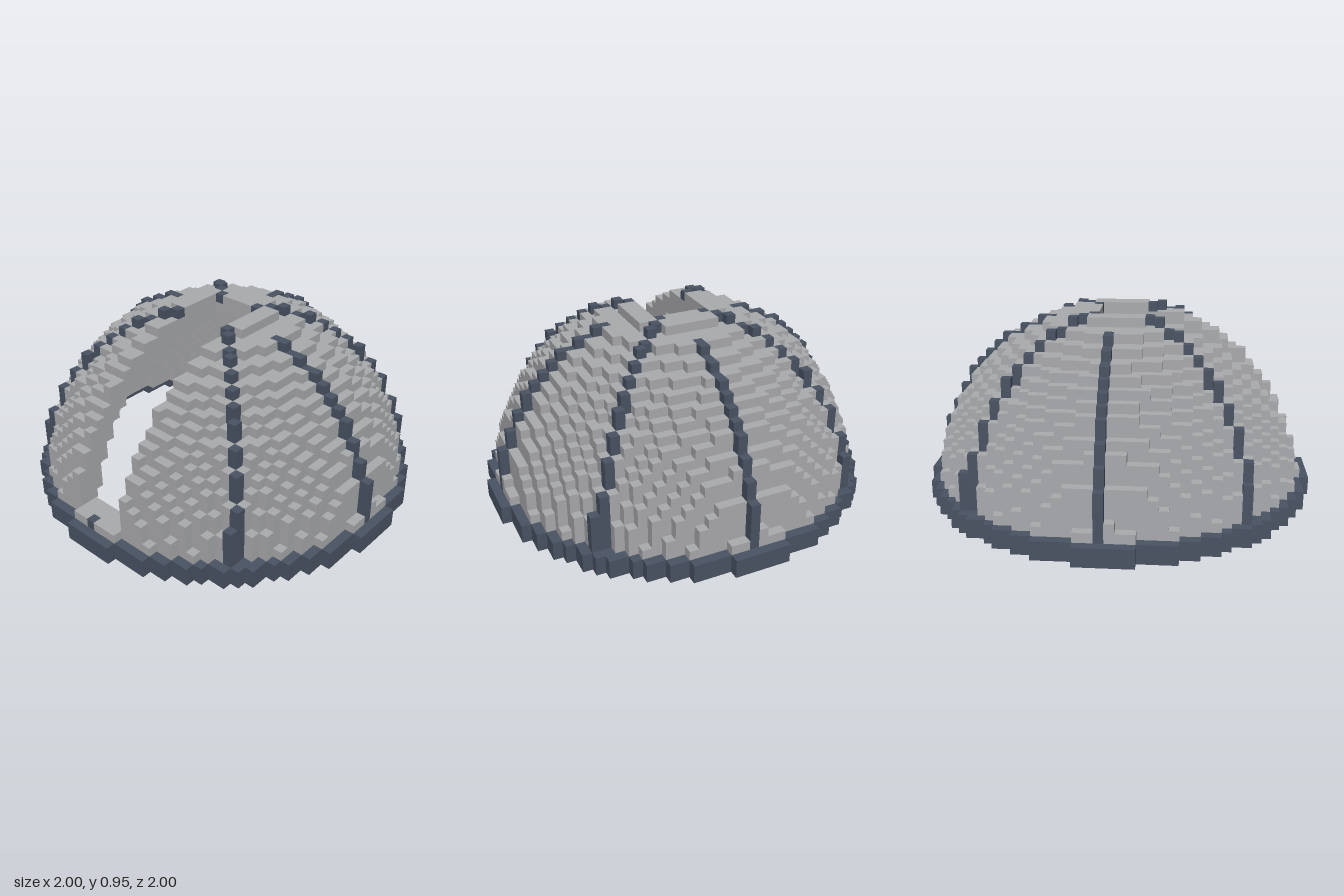
import * as THREE from 'three';

const V = 1 / 21;          // block size
const HALF = 21;           // blocks from centre to edge
const LAYERS = 20;

// distance squared from the dome centre to a block centre
const dist2 = (x, y, z) => (x + 0.5) ** 2 + (z + 0.5) ** 2 + y * y;

// plan lines of the eight ribs, each turned a little clockwise
function onAxisRib(x, z) {
  return (z === -1 && x < 0) || (z === 0 && x > 0) || (x === 0 && z < 0) || (x === -1 && z > 0);
}
function onDiagonalRib(x, z) {
  const a = Math.abs(x + 0.5), b = Math.abs(z + 0.5);
  if (a === b) return true;
  const towardX = (x < 0) === (z >= 0);
  const lead = towardX ? a - b : b - a;
  return lead === 1 && Math.max(a, b) >= 14;
}

// which part fills a block
function partAt(x, y, z) {
  if (y < 0 || y >= LAYERS) return null;
  if (y < 2) {
    const r = dist2(x, 0, z);
    return r <= 428 && r >= 372 ? 'baseRing' : null;
  }
  if (y > 2 && x >= -3 && x < 3 && z >= -2) return null;   // roof slot
  const r = dist2(x, y, z);
  if (r > 367 && r <= 420.5) {
    if (onDiagonalRib(x, z)) return 'ribs';
    const out = Math.max(Math.abs(x + 0.5), Math.abs(z + 0.5));
    if (onAxisRib(x, z) && y < 19 && !(y === 18 && out > 9)) return 'ribs';
  }
  return r <= 390.6 && r >= 296 ? 'domeShell' : null;
}

// exposed block faces of one part
function blockGeometry(part) {
  const pos = [], nor = [], idx = [];
  for (let x = -HALF; x < HALF; x++)
    for (let y = 0; y < LAYERS; y++)
      for (let z = -HALF; z < HALF; z++) {
        if (partAt(x, y, z) !== part) continue;
        for (let axis = 0; axis < 3; axis++)
          for (const s of [-1, 1]) {
            const n = [0, 0, 0];
            n[axis] = s;
            if (partAt(x + n[0], y + n[1], z + n[2])) continue;
            const u = (axis + 1) % 3, v = (axis + 2) % 3, base = pos.length / 3;
            for (const [a, b] of [[0, 0], [1, 0], [1, 1], [0, 1]]) {
              const p = [x, y, z];
              if (s > 0) p[axis] += 1;
              p[u] += a;
              p[v] += b;
              pos.push(p[0] * V, p[1] * V, p[2] * V);
              nor.push(...n);
            }
            const order = s > 0 ? [0, 1, 2, 0, 2, 3] : [0, 2, 1, 0, 3, 2];
            for (const k of order) idx.push(base + k);
          }
      }
  const g = new THREE.BufferGeometry();
  g.setAttribute('position', new THREE.Float32BufferAttribute(pos, 3));
  g.setAttribute('normal', new THREE.Float32BufferAttribute(nor, 3));
  g.setIndex(idx);
  return g;
}

export function createModel() {
  const group = new THREE.Group();
  group.name = 'slottedDome';
  const slate = new THREE.MeshStandardMaterial({ color: 0x4a5363 });
  slate.name = 'slate';
  const stone = new THREE.MeshStandardMaterial({ color: 0xaaabae });
  stone.name = 'stone';
  for (const [name, material] of [['baseRing', slate], ['ribs', slate], ['domeShell', stone]]) {
    const mesh = new THREE.Mesh(blockGeometry(name), material);
    mesh.name = name;
    group.add(mesh);
  }
  return group;
}
